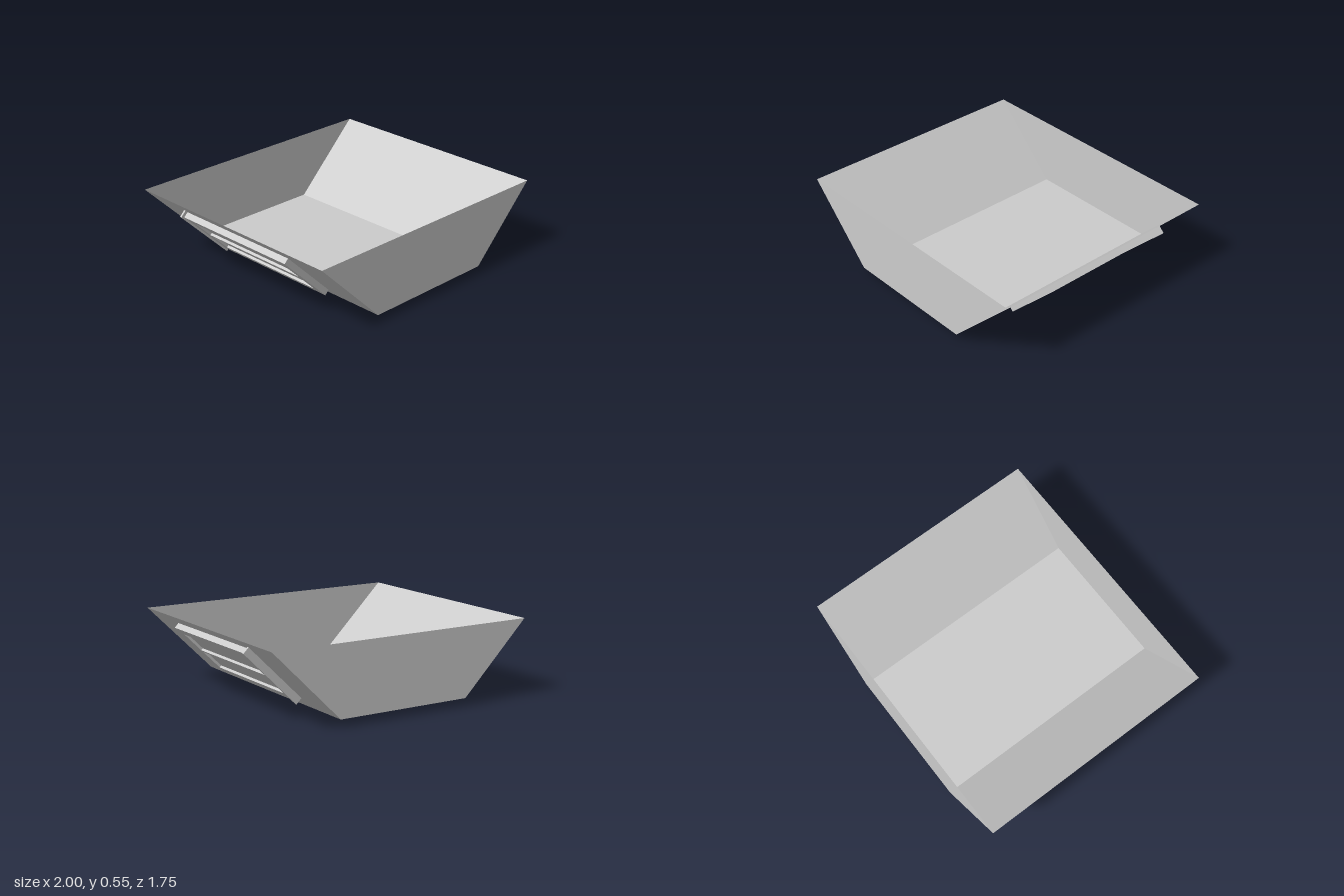
import * as THREE from 'three';

const WALL_BOTTOM = 0.055;

// Open trough: four thin walls and a floor joining two rectangles
function makeTrough(material) {
  const ring = (x, y, z) => [-x, y, z, x, y, z, x, y, -z, -x, y, -z];
  const points = [...ring(0.5, WALL_BOTTOM, 0.875), ...ring(1, 0.55, 0.875)];
  const index = [0, 3, 2, 0, 2, 1]; // floor, facing down
  for (let i = 0; i < 4; i++) {
    const j = (i + 1) % 4;
    index.push(i, j, j + 4, i, j + 4, i + 4);
  }
  const indexed = new THREE.BufferGeometry();
  indexed.setAttribute('position', new THREE.Float32BufferAttribute(points, 3));
  indexed.setIndex(index);
  const geometry = indexed.toNonIndexed();
  geometry.computeVertexNormals();
  const mesh = new THREE.Mesh(geometry, material);
  mesh.name = 'trough';
  return mesh;
}

function rectangle(target, x0, x1, y0, y1) {
  target.moveTo(x0, y0);
  target.lineTo(x1, y0);
  target.lineTo(x1, y1);
  target.lineTo(x0, y1);
  target.closePath();
  return target;
}

// Panel lying on a wall, projecting along local -y, long side along z
function makePanel(name, material) {
  const panel = new THREE.Group();
  panel.name = name;
  const gap = 0.001;

  // Frame with two long openings
  const shape = rectangle(new THREE.Shape(), -0.25, 0.25, -0.5, 0.5);
  for (const [x0, x1] of [[-0.19, -0.01], [0.01, 0.19]]) {
    shape.holes.push(rectangle(new THREE.Path(), x0, x1, -0.44, 0.44));
  }
  const frameGeometry = new THREE.ExtrudeGeometry(shape, { depth: 0.042, bevelEnabled: false });
  frameGeometry.rotateX(Math.PI / 2);
  const frame = new THREE.Mesh(frameGeometry, material);
  frame.name = 'frame';
  frame.position.y = -gap;

  // Recessed panes behind the openings
  for (const side of [-1, 1]) {
    const pane = new THREE.Mesh(new THREE.BoxGeometry(0.18, 0.024, 0.88), material);
    pane.name = 'pane';
    pane.position.set(side * 0.1, -0.012 - gap, 0);
    panel.add(pane);
  }

  // Slightly wider and deeper strip across the back end
  const cap = new THREE.Mesh(new THREE.BoxGeometry(0.545, 0.054, 0.015), material);
  cap.name = 'endStrip';
  cap.position.set(0, -0.027 - gap, -0.5075);
  panel.add(frame, cap);
  panel.position.z = -0.01;
  return panel;
}

export function createModel() {
  const group = new THREE.Group();
  group.name = 'troughWithPanels';
  const material = new THREE.MeshStandardMaterial({ color: 0xcccccc });
  const thin = new THREE.MeshStandardMaterial({ color: 0xcccccc, side: THREE.DoubleSide });
  group.add(makeTrough(thin));

  // One panel under the floor and one on each sloping wall
  const slope = Math.atan2(0.55 - WALL_BOTTOM, 0.5);
  const placements = [
    ['bottomPanel', 0, WALL_BOTTOM, 0],
    ['leftPanel', 0.77, WALL_BOTTOM + 0.27 * Math.tan(slope), slope],
    ['rightPanel', -0.745, WALL_BOTTOM + 0.245 * Math.tan(slope), -slope],
  ];
  for (const [name, x, y, angle] of placements) {
    const panel = makePanel(name, material);
    panel.position.x = x;
    panel.position.y = y;
    panel.rotation.z = angle;
    group.add(panel);
  }
  return group;
}
